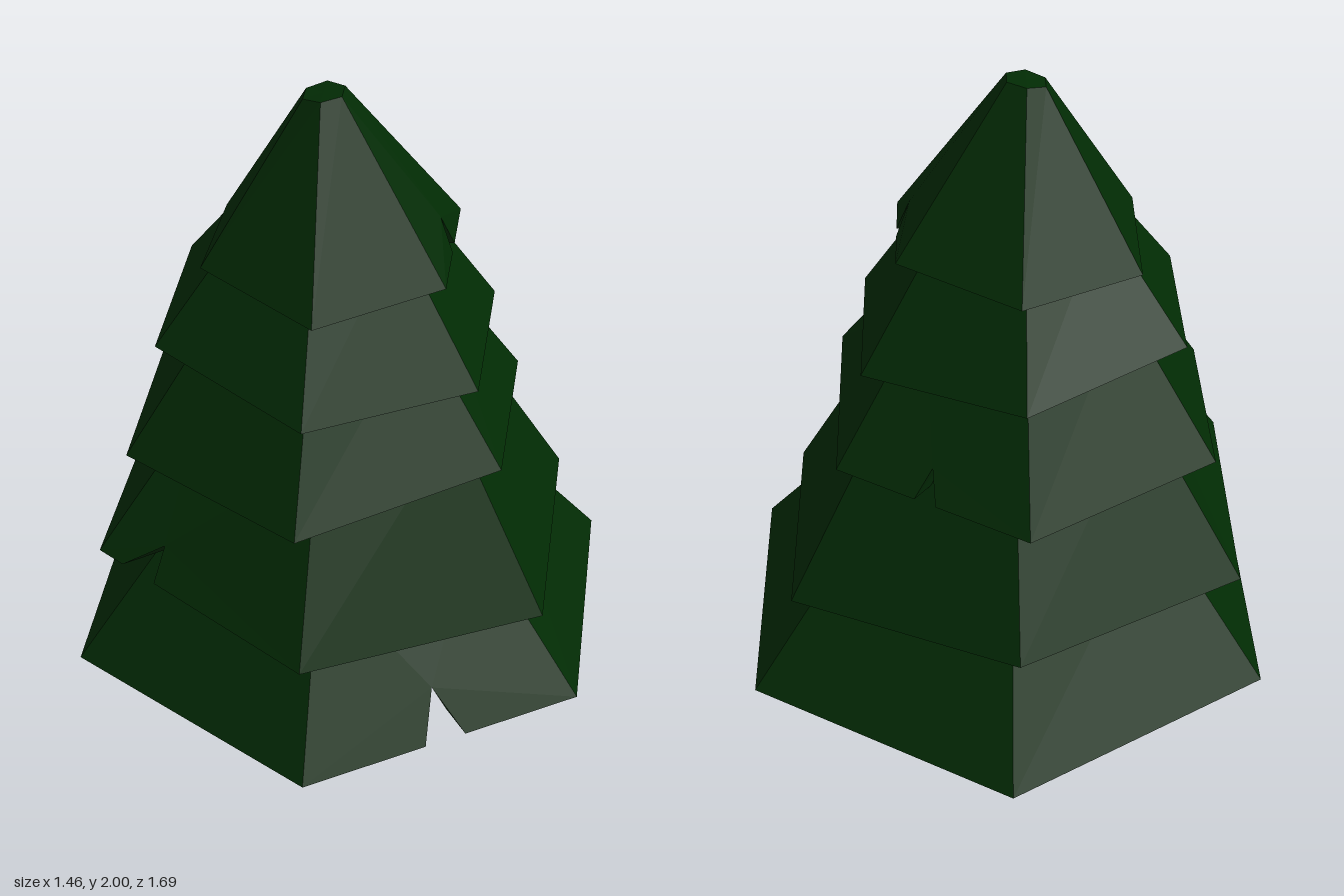
import * as THREE from 'three';

const needleGreen = new THREE.MeshStandardMaterial({ color: 0x022b04 });
needleGreen.name = 'needle green';
const barkBrown = new THREE.MeshStandardMaterial({ color: 0x2b1b04 });
barkBrown.name = 'bark brown';

// Corner i of a hexagon: 0 front, 1 front left, 2 back left, 3 back, 4 back right, 5 front right,
// where left is +x
function corner(i, r, cx, y) {
  const a = (i * Math.PI) / 3;
  return new THREE.Vector3(cx + r * Math.sin(a), y, r * Math.cos(a));
}

const hexagon = (r, cx, y) =>
  [0, 1, 2, 3, 4, 5].map((i) => corner(i, r, cx, Array.isArray(y) ? y[i] : y));

// Unshared triangles give faceted normals
function facetedMesh(name, tris, material) {
  const geo = new THREE.BufferGeometry().setFromPoints(tris);
  geo.computeVertexNormals();
  const mesh = new THREE.Mesh(geo, material);
  mesh.name = name;
  return mesh;
}

function cap(tris, ring, up) {
  const c = new THREE.Vector3();
  ring.forEach((p) => c.addScaledVector(p, 1 / ring.length));
  ring.forEach((p, i) => {
    const q = ring[(i + 1) % ring.length];
    tris.push(c, ...(up ? [p, q] : [q, p]));
  });
}

// Bottom edge of one side, with an optional triangular notch
function edgePath(b0, b1, t0, t1, notch) {
  if (!notch) return [b0, b1];
  const at = (t) => b0.clone().lerp(b1, t);
  const peak = at(notch.peak);
  const above = t0.clone().lerp(t1, notch.peak);
  peak.lerp(above, notch.height / (above.y - peak.y));
  const out = 1 + notch.bulge / Math.hypot(peak.x, peak.z);
  peak.x *= out;
  peak.z *= out;
  return [b0, at(notch.from), peak, at(notch.to), b1];
}

// Wall between a bottom path and a top edge
function wall(tris, path, t0, t1, flip) {
  const loop = [...path, t1, t0];
  const n = loop.length;
  const s = path.length === 5 ? 2 : 0;
  for (let k = 1; k < n - 1; k++) {
    const a = loop[(s + k) % n], b = loop[(s + k + 1) % n];
    tris.push(loop[s], ...(flip ? [b, a] : [a, b]));
  }
}

// Hollow skirt of branches: outer wall, rim, inner wall and ceiling
function branchTier(name, { r, cx, ys, topR, topX, topY, rim, depth, notch }) {
  const tris = [];
  const bottom = hexagon(r, cx, ys);
  const top = hexagon(topR, topX, topY);
  const inner = hexagon(r - rim, cx, ys);
  const ceiling = hexagon((r - rim) * 0.92, cx, ys.map((y) => y + depth));
  for (let i = 0; i < 6; i++) {
    const j = (i + 1) % 6;
    const cut = notch && notch.side === i ? notch : null;
    const o = edgePath(bottom[i], bottom[j], top[i], top[j], cut);
    const n = edgePath(inner[i], inner[j], ceiling[i], ceiling[j], cut);
    wall(tris, o, top[i], top[j], false);
    wall(tris, n, ceiling[i], ceiling[j], true);
    for (let k = 0; k < o.length - 1; k++) {
      tris.push(o[k], n[k], n[k + 1], o[k], n[k + 1], o[k + 1]);
    }
  }
  cap(tris, ceiling, false);
  cap(tris, top, true);
  return facetedMesh(name, tris, needleGreen);
}

function trunk() {
  const tris = [];
  const rings = [hexagon(0.23, 0, 0), hexagon(0.205, 0.022, 0.22), hexagon(0.18, 0.01, 0.5)];
  for (let k = 0; k < 2; k++) {
    for (let i = 0; i < 6; i++) {
      const j = (i + 1) % 6;
      wall(tris, [rings[k][i], rings[k][j]], rings[k + 1][i], rings[k + 1][j], false);
    }
  }
  cap(tris, rings[0], false);
  cap(tris, rings[2], true);
  return facetedMesh('trunk', tris, barkBrown);
}

// Tiers from the ground up, with uneven hem heights
const tiers = {
  lowestBranches: {
    r: 0.845, cx: 0, ys: [0.28, 0.32, 0.28, 0.233, 0.285, 0.28],
    topR: 0.47, topX: -0.01, topY: 0.75, rim: 0.125, depth: 0.14,
    notch: { side: 0, from: 0.44, peak: 0.51, to: 0.585, height: 0.125, bulge: 0 },
  },
  lowerBranches: {
    r: 0.737, cx: -0.022, ys: [0.605, 0.57, 0.56, 0.605, 0.61, 0.66],
    topR: 0.41, topX: -0.02, topY: 1.1, rim: 0.135, depth: 0.12,
    notch: { side: 5, from: 0.12, peak: 0.25, to: 0.28, height: 0.095, bulge: 0 },
  },
  middleBranches: {
    r: 0.608, cx: -0.052, ys: [0.96, 1.03, 0.965, 0.925, 0.97, 0.965],
    topR: 0.31, topX: -0.05, topY: 1.4, rim: 0.125, depth: 0.1,
    notch: { side: 2, from: 0.41, peak: 0.46, to: 0.52, height: 0.085, bulge: 0 },
  },
  upperBranches: {
    r: 0.512, cx: -0.045, ys: [1.257, 1.255, 1.24, 1.26, 1.315, 1.315],
    topR: 0.24, topX: -0.05, topY: 1.65, rim: 0.12, depth: 0.1,
  },
  treeTop: {
    r: 0.383, cx: -0.035, ys: [1.5, 1.535, 1.55, 1.51, 1.505, 1.54],
    topR: 0.06, topX: -0.057, topY: [1.995, 2, 2, 1.995, 1.985, 1.985], rim: 0.11, depth: 0.1,
    notch: { side: 1, from: 0.44, peak: 0.5, to: 0.56, height: 0.095, bulge: 0.025 },
  },
};

export function createModel() {
  const tree = new THREE.Group();
  tree.name = 'pineTree';
  tree.add(trunk());
  for (const [name, tier] of Object.entries(tiers)) tree.add(branchTier(name, tier));
  return tree;
}
